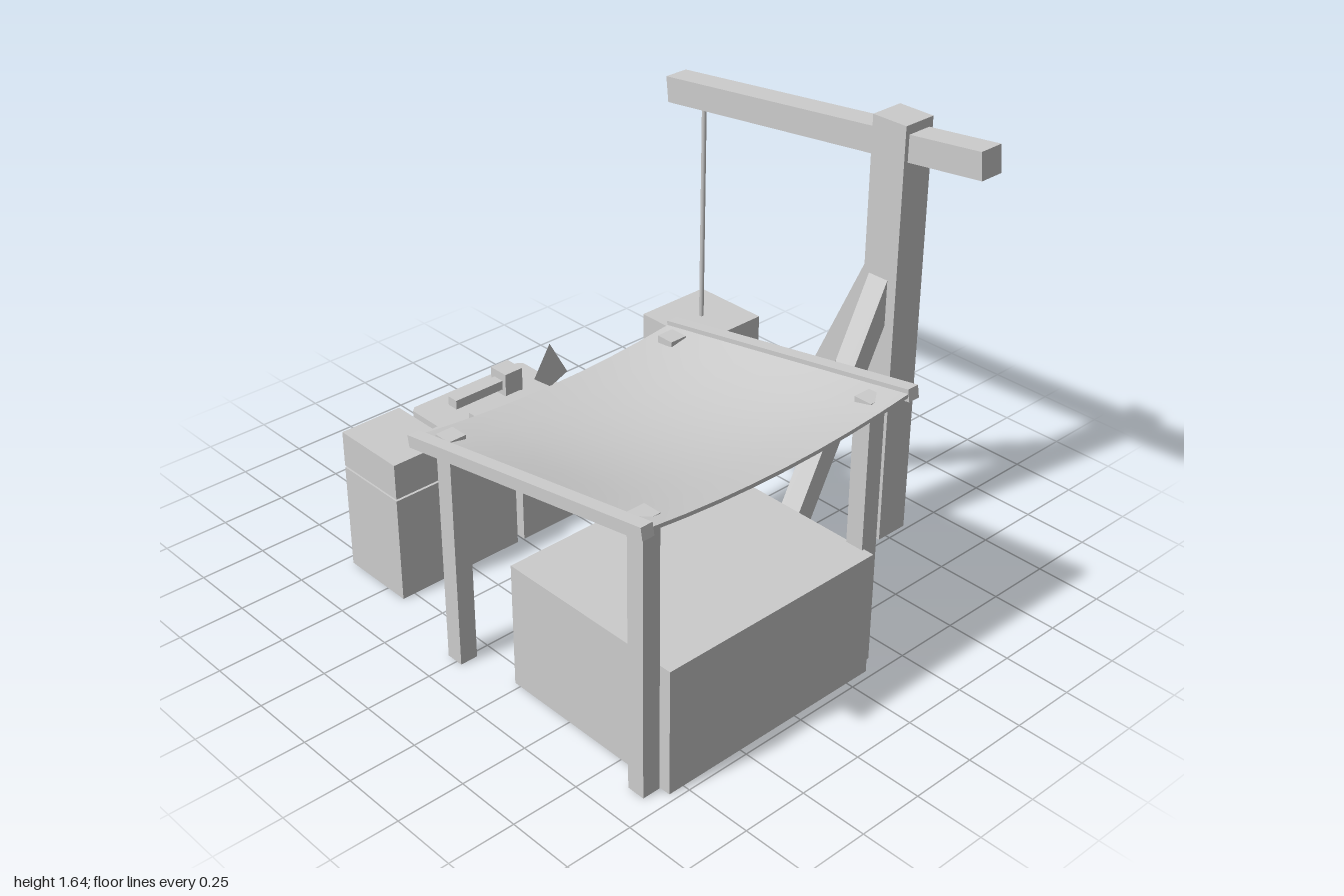
import * as THREE from 'three';

export function createModel() {
  const model = new THREE.Group();
  model.name = 'marketStall';
  const grey = new THREE.MeshStandardMaterial({ color: 0xcccccc, side: THREE.DoubleSide });
  grey.name = 'plain grey';

  function add(name, geometry, parent = model) {
    const mesh = new THREE.Mesh(geometry, grey);
    mesh.name = name;
    parent.add(mesh);
    return mesh;
  }
  // Upright box given by its limits on each axis
  function block(name, [x0, x1], [y0, y1], [z0, z1], parent) {
    const mesh = add(name, new THREE.BoxGeometry(x1 - x0, y1 - y0, z1 - z0), parent);
    mesh.position.set((x0 + x1) / 2, (y0 + y1) / 2, (z0 + z1) / 2);
    return mesh;
  }
  // Square timber running between two points
  function timber(name, from, to, width, thick, parent) {
    const a = new THREE.Vector3(...from), b = new THREE.Vector3(...to);
    const mesh = add(name, new THREE.BoxGeometry(width, thick, a.distanceTo(b)), parent);
    mesh.position.copy(a).add(b).multiplyScalar(0.5);
    mesh.lookAt(b);
    return mesh;
  }
  function group(name) {
    const g = new THREE.Group();
    g.name = name;
    model.add(g);
    return g;
  }

  // Stall: counter, four posts, two sloping rails
  const stall = group('stall');
  block('counter', [-0.81, 0.095], [0, 0.475], [0.223, 0.973], stall);
  for (const x of [-0.848, 0.119]) {
    block('frontPost', [x - 0.034, x + 0.034], [0, 1.028], [0.863, 0.932], stall);
    block('backPost', [x - 0.034, x + 0.034], [0, 0.88], [-0.045, 0.024], stall);
  }
  const railY = (z) => 0.852 + (z + 0.107) * 0.1735;
  for (const x of [-0.922, 0.213]) {
    timber('canopyRail', [x, railY(-0.107), -0.107], [x, railY(0.995), 0.995], 0.046, 0.044, stall);
  }

  // Sagging cloth: a thin subdivided slab, lowered most in the middle
  const cloth = new THREE.BoxGeometry(1.1, 0.014, 1.1, 8, 1, 8);
  const p = cloth.attributes.position;
  for (let i = 0; i < p.count; i++) {
    const u = p.getX(i) / 0.55, v = p.getZ(i) / 0.55;
    const z = p.getZ(i) + 0.443;
    const sag = (1 - u * u) * (0.035 + 0.055 * (1 - v * v));
    p.setXYZ(i, p.getX(i) - 0.355, p.getY(i) + railY(z) - sag, z);
  }
  cloth.computeVertexNormals();
  add('canopyCloth', cloth, stall);

  // Flat pennant standing on the back edge of the cloth
  const pennant = new THREE.Shape([
    new THREE.Vector2(-0.35, 0.985), new THREE.Vector2(-0.42, 0.875),
    new THREE.Vector2(-0.35, 0.82), new THREE.Vector2(-0.275, 0.85),
  ]);
  add('pennant', new THREE.ShapeGeometry(pennant), stall).position.z = -0.108;

  // Crane: mast, sloping beam, two braces, rope and hanging crate
  const crane = group('crane');
  block('mast', [0.712, 0.848], [0, 1.645], [0.335, 0.482], crane);
  timber('beam', [0.78, 1.426, -0.689], [0.78, 1.595, 0.79], 0.1, 0.1, crane);
  timber('sideBrace', [0.273, 0.114, 0.4], [0.756, 1.057, 0.4], 0.085, 0.08, crane);
  timber('backBrace', [0.78, 0.115, -0.083], [0.78, 1.113, 0.379], 0.085, 0.082, crane);
  const rope = add('rope', new THREE.CylinderGeometry(0.009, 0.009, 0.93, 8), crane);
  rope.position.set(0.78, 0.965, -0.542);
  block('hangingCrate', [0.62, 0.94], [0.286, 0.512], [-0.703, -0.383], crane);

  // Row of crates, one with a second crate stacked on it
  const crates = group('crates');
  for (const x of [-0.8, -0.523, -0.246]) {
    block('crate', [x, x + 0.246], [0, 0.41], [-0.712, -0.41], crates);
  }
  block('stackedCrate', [-0.8, -0.554], [0.418, 0.555], [-0.712, -0.41], crates);

  // Chest with chamfered upright corners, knob and bar handle
  const chest = group('chest');
  const w = 0.271, d = 0.133, c = 0.02;
  const outline = new THREE.Shape([
    [-w + c, -d], [w - c, -d], [w, -d + c], [w, d - c],
    [w - c, d], [-w + c, d], [-w, d - c], [-w, -d + c],
  ].map(([x, y]) => new THREE.Vector2(x, y)));
  const body = new THREE.ExtrudeGeometry(outline, { depth: 0.323, bevelEnabled: false });
  body.rotateX(-Math.PI / 2);
  add('chestBody', body, chest).position.set(-0.035, 0, -0.867);
  block('chestKnob', [0.02, 0.102], [0.323, 0.418], [-0.912, -0.825], chest);
  block('chestHandle', [-0.203, 0.02], [0.348, 0.385], [-0.892, -0.844], chest);

  return model;
}
